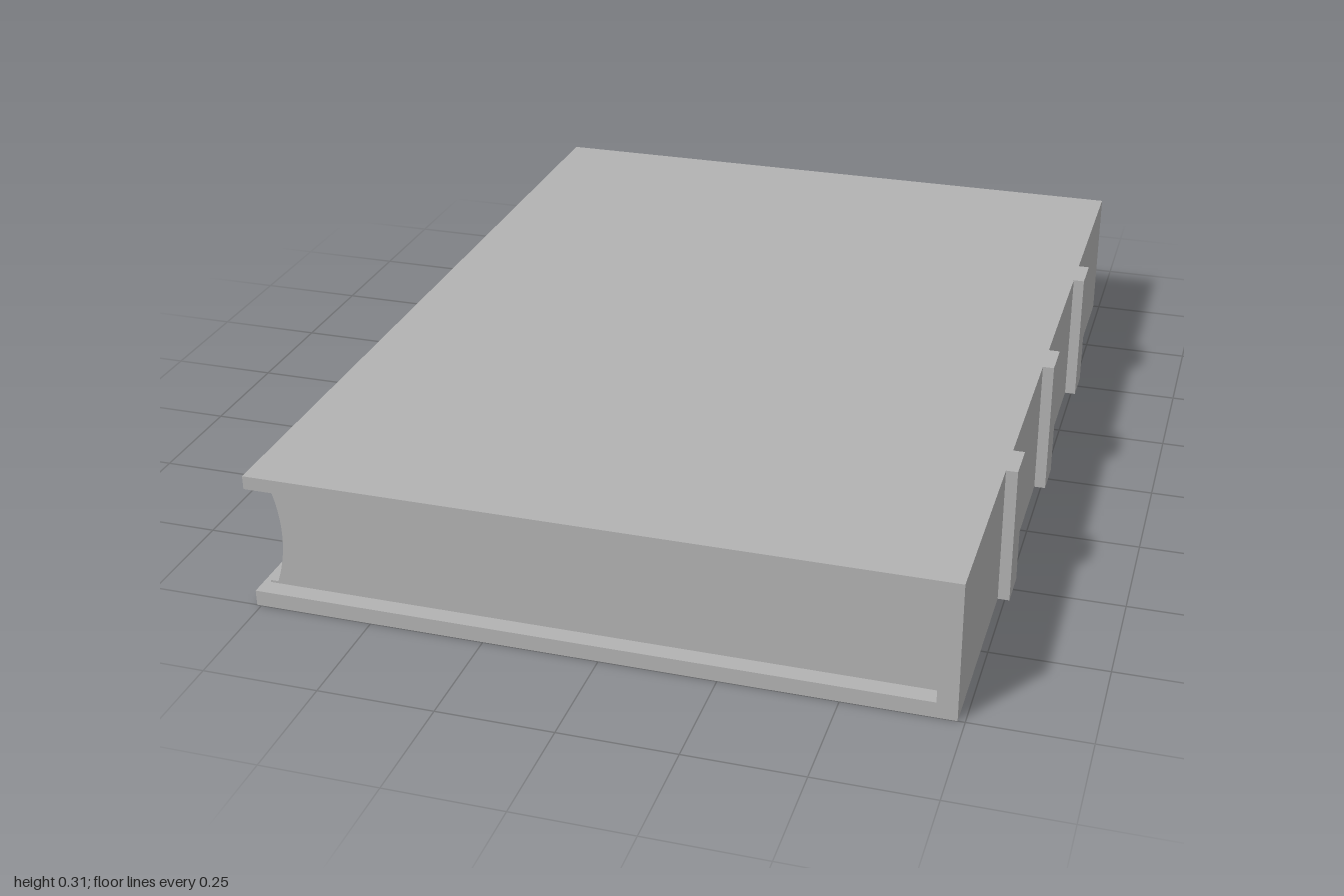
import * as THREE from 'three';

export function createModel() {
  const book = new THREE.Group();
  book.name = 'book';
  const grey = new THREE.MeshStandardMaterial({ color: 0xb2b2b2 });
  grey.name = 'plain grey';

  const H = 0.31, BOARD = 0.035;
  const FORE = -0.76, SPINE_IN = 0.692, SPINE_OUT = 0.735;

  // extrudes an x-y profile along z, centred on z = 0
  function addProfile(name, shape, length) {
    const geometry = new THREE.ExtrudeGeometry(shape, {
      depth: length, bevelEnabled: false, curveSegments: 24,
    });
    geometry.translate(0, 0, -length / 2);
    const mesh = new THREE.Mesh(geometry, grey);
    mesh.name = name;
    book.add(mesh);
  }

  function addBox(name, x0, x1, y0, y1, z, depth) {
    const mesh = new THREE.Mesh(new THREE.BoxGeometry(x1 - x0, y1 - y0, depth), grey);
    mesh.position.set((x0 + x1) / 2, (y0 + y1) / 2, z);
    mesh.name = name;
    book.add(mesh);
  }

  // cover: two boards joined by the spine
  const cover = new THREE.Shape([
    [FORE, 0], [SPINE_OUT, 0], [SPINE_OUT, H], [FORE, H],
    [FORE, H - BOARD + 0.005], [SPINE_IN, H - BOARD + 0.005],
    [SPINE_IN, BOARD], [FORE, BOARD],
  ].map(([x, y]) => new THREE.Vector2(x, y)));
  addProfile('cover', cover, 2);

  // page block with a hollow fore edge
  const low = 0.04, high = 0.276;
  const pages = new THREE.Shape();
  pages.moveTo(-0.727, low);
  pages.lineTo(SPINE_IN - 0.002, low);
  pages.lineTo(SPINE_IN - 0.002, high);
  pages.lineTo(-0.727, high);
  pages.quadraticCurveTo(-0.685, (low + high) / 2, -0.727, low);
  addProfile('pages', pages, 1.92);

  // endpapers between the pages and the boards
  addBox('lowerEndpaper', -0.745, SPINE_IN, BOARD, low, 0, 1.92);
  addBox('upperEndpaper', -0.745, SPINE_IN, high, H - BOARD + 0.005, 0, 1.92);

  // raised bands across the spine
  for (const z of [-0.5, 0, 0.5]) {
    addBox('spineBand', SPINE_OUT, 0.76, 0, H, z, 0.09);
  }

  return book;
}
